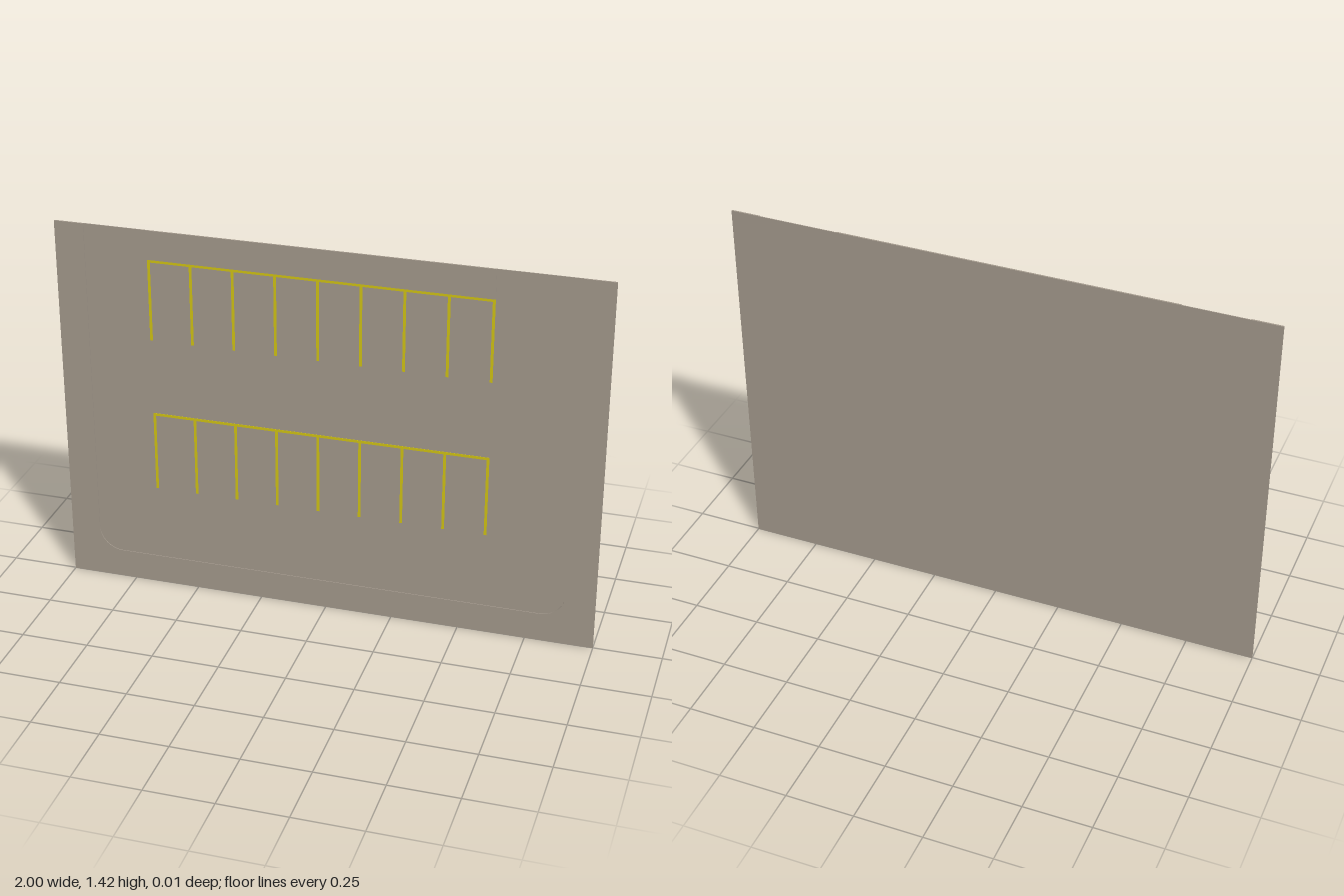
import * as THREE from 'three';

export function createModel() {
  const group = new THREE.Group();
  const paving = new THREE.MeshStandardMaterial({ color: 0xa3998c });
  paving.name = 'paving';
  const paint = new THREE.MeshStandardMaterial({ color: 0xd2c414 });
  paint.name = 'yellowPaint';

  const H = 1.42, BACK = -0.003, FLOOR = 0, TOP = 0.003;

  // Box given by its limits on each axis
  function slab(name, material, x0, x1, y0, y1, z0, z1) {
    const mesh = new THREE.Mesh(new THREE.BoxGeometry(x1 - x0, y1 - y0, z1 - z0), material);
    mesh.position.set((x0 + x1) / 2, (y0 + y1) / 2, (z0 + z1) / 2);
    mesh.name = name;
    group.add(mesh);
  }

  // Ground plate
  slab('lotSurface', paving, -1, 1, 0, H, BACK, FLOOR);

  // Raised U-shaped pavement with rounded inner corners, open at the top
  const inner = 0.89, bottom = 0.11, r = 0.09;
  const border = new THREE.Shape();
  border.moveTo(-1, 0);
  border.lineTo(1, 0);
  border.lineTo(1, H);
  border.lineTo(inner, H);
  border.lineTo(inner, bottom + r);
  border.absarc(inner - r, bottom + r, r, 0, -Math.PI / 2, true);
  border.lineTo(-inner + r, bottom);
  border.absarc(-inner + r, bottom + r, r, -Math.PI / 2, -Math.PI, true);
  border.lineTo(-inner, H);
  border.lineTo(-1, H);
  border.closePath();
  const kerb = new THREE.Mesh(
    new THREE.ExtrudeGeometry(border, { depth: TOP - FLOOR, bevelEnabled: false, curveSegments: 10 }),
    paving
  );
  kerb.position.z = FLOOR;
  kerb.name = 'raisedBorder';
  group.add(kerb);

  // Raised island behind the upper row of bays
  const left = -0.655, right = 0.595;
  slab('island', paving, left, right, 1.31, H, FLOOR, TOP);

  // Two rows of painted bays: a head line and nine dividers each
  const w = 0.01, bays = 8, pitch = (right - left - w) / bays;
  for (const [row, top] of [['upper', 1.31], ['lower', 0.71]]) {
    slab(row + 'HeadLine', paint, left, right, top - w, top, FLOOR, FLOOR + 0.001);
    for (let i = 0; i <= bays; i++) {
      const x = left + i * pitch;
      slab(row + 'BayLine', paint, x, x + w, top - 0.31, top - w, FLOOR, FLOOR + 0.001);
    }
  }

  return group;
}
